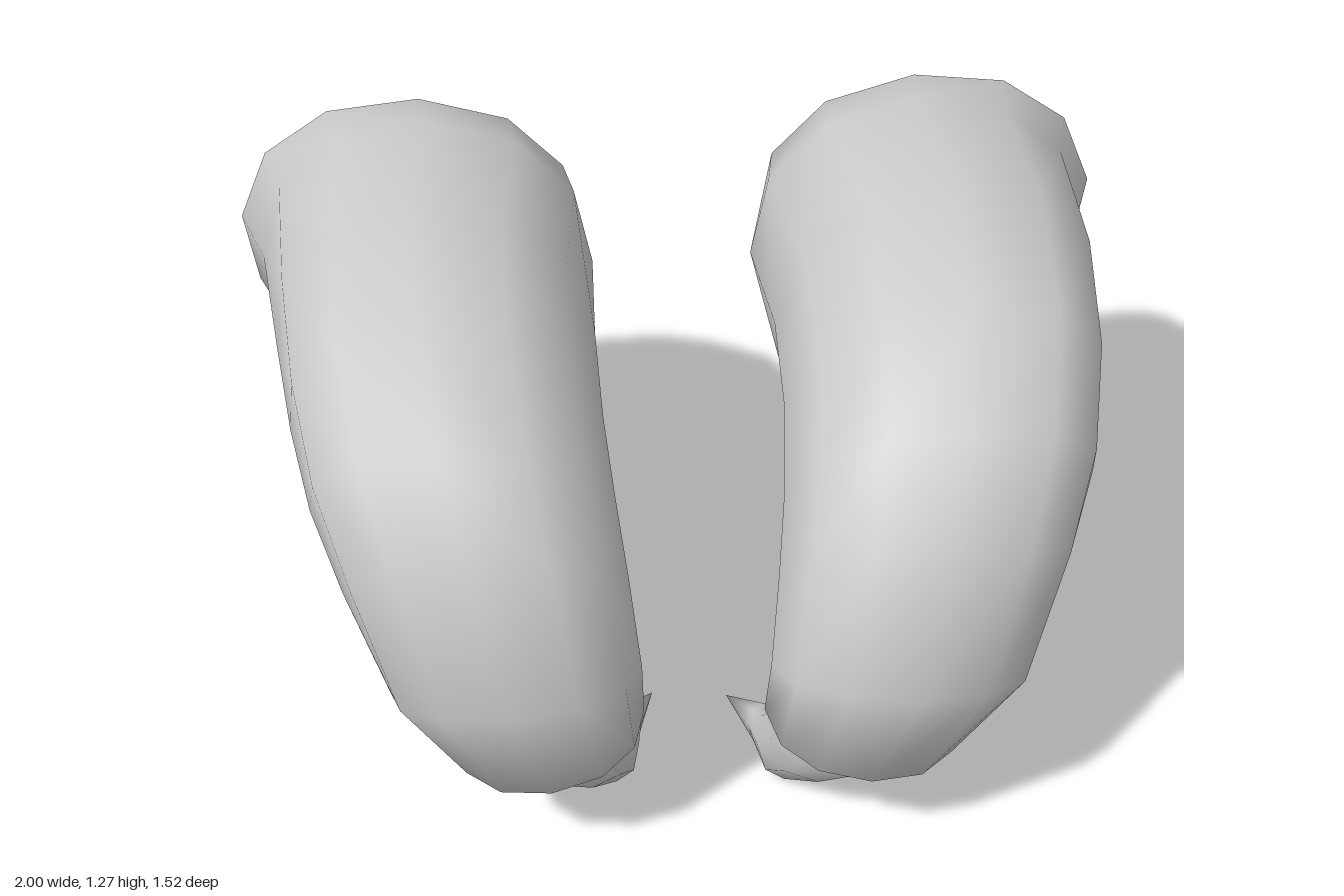
import * as THREE from 'three';
import { mergeVertices } from 'three/addons/utils/BufferGeometryUtils.js';

// Cross-sections: [xInner, xOuter, zOuter, yOuter, zInner, yInner, shear, skew, tilt]
// "Outer" is the top/front of the bend, "inner" its underside.
// shear slants the section backwards with x, skew leans its top towards the middle,
// tilt lowers its far side.
const BODY = [
  [0.78, 0.78, -0.76, 0.98, -0.76, 0.98, 0, 0, 0],
  [0.38, 0.945, -0.69, 1.15, -0.68, 0.72, 0.13, 0.04, 0],
  [0.20, 1.0, -0.58, 1.22, -0.58, 0.565, 0.16, 0.05, 0],
  [0.165, 0.935, -0.42, 1.245, -0.45, 0.52, 0.10, 0.02, 0],
  [0.175, 0.86, 0.00, 1.275, 0.00, 0.635, 0, -0.025, 0],
  [0.17, 0.82, 0.32, 1.195, 0.15, 0.62, 0, -0.035, 0],
  [0.155, 0.78, 0.54, 1.05, 0.24, 0.59, 0, -0.03, 0],
  [0.135, 0.72, 0.68, 0.87, 0.32, 0.51, 0, -0.02, 0],
  [0.115, 0.64, 0.765, 0.57, 0.385, 0.43, 0, -0.01, 0.05],
  [0.11, 0.52, 0.69, 0.28, 0.36, 0.35, 0, 0, 0.13],
  [0.30, 0.30, 0.53, 0.30, 0.53, 0.30, 0, 0, 0],
];
const FANG = [
  [0.16, 0.45, 0.66, 0.36, 0.38, 0.39, 0, 0, 0],
  [0.16, 0.43, 0.66, 0.27, 0.375, 0.31, 0, 0, 0.1],
  [0.135, 0.32, 0.54, 0.13, 0.34, 0.20, 0, 0, 0],
  [0.115, 0.225, 0.43, 0.03, 0.30, 0.13, 0, 0, 0],
  [0.105, 0.18, 0.31, 0.015, 0.24, 0.08, 0, 0, 0],
  [0.07, 0.07, 0.125, 0.0, 0.125, 0.0, 0, 0, 0],
];

// Slightly squared-off ellipse
const squared = (v) => Math.sign(v) * Math.abs(v) ** 0.93;

// Skin smooth rings; sections of zero width close to a point
function loft(sections, sides, mapPoint, flip) {
  const positions = [];
  const index = [];
  const isPoint = (s) => s[0] === s[1];
  for (const [xi, xo, zo, yo, zi, yi, shear, skew, tilt] of sections) {
    for (let j = 0; j < sides; j++) {
      const a = (j / sides) * Math.PI * 2;
      const c = squared(Math.cos(a)), s = squared(Math.sin(a));
      const dx = (c * (xo - xi)) / 2;
      positions.push(...mapPoint(
        (xi + xo) / 2 + dx - skew * s,
        (yo + yi) / 2 + (s * (yo - yi)) / 2 - tilt * dx,
        (zo + zi) / 2 + (s * (zo - zi)) / 2 - shear * dx,
      ));
    }
  }
  const tri = (a, b, c) => (flip ? index.push(a, c, b) : index.push(a, b, c));
  for (let i = 0; i < sections.length - 1; i++) {
    for (let j = 0; j < sides; j++) {
      const a = i * sides + j, b = i * sides + ((j + 1) % sides);
      if (!isPoint(sections[i])) tri(a, b, b + sides);
      if (!isPoint(sections[i + 1])) tri(a, b + sides, a + sides);
    }
  }
  const geometry = new THREE.BufferGeometry();
  geometry.setAttribute('position', new THREE.Float32BufferAttribute(positions, 3));
  geometry.setIndex(index);
  const welded = mergeVertices(geometry);
  welded.computeVertexNormals();
  return welded;
}

export function createModel() {
  const model = new THREE.Group();
  model.name = 'fangPair';
  const material = new THREE.MeshStandardMaterial({ color: 0xcccccc });

  // The right jaw mirrors the left, set slightly slimmer and higher
  const jaws = [
    ['left', (x, y, z) => [x, y, z], false],
    ['right', (x, y, z) => [-(0.035 + 0.965 * x), 0.02 + 0.975 * y, z * 0.99], true],
  ];
  for (const [side, mapPoint, flip] of jaws) {
    const jaw = new THREE.Group();
    jaw.name = `${side}Jaw`;
    const body = new THREE.Mesh(loft(BODY, 12, mapPoint, flip), material);
    body.name = `${side}JawBody`;
    const fang = new THREE.Mesh(loft(FANG, 8, mapPoint, flip), material);
    fang.name = `${side}Fang`;
    jaw.add(body, fang);
    model.add(jaw);
  }
  return model;
}
